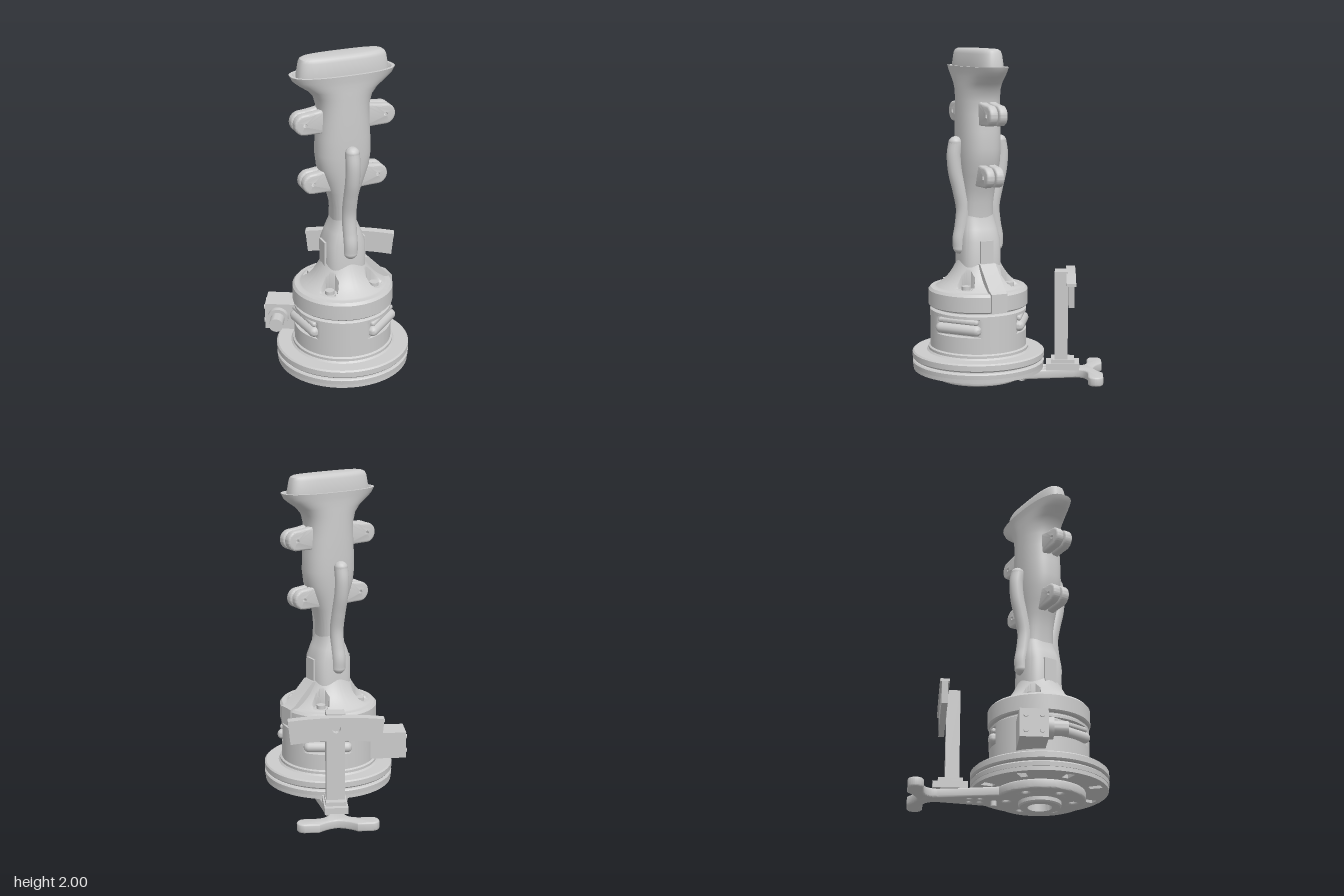
import * as THREE from 'three';
import { toCreasedNormals } from 'three/addons/utils/BufferGeometryUtils.js';

const material = new THREE.MeshStandardMaterial({ color: 0xcccccc, roughness: 0.7, side: THREE.DoubleSide });
const V2 = (a) => a.map(([x, y]) => new THREE.Vector2(x, y));

function add(parent, name, geo, x = 0, y = 0, z = 0, crease = 0.6) {
  const mesh = new THREE.Mesh(toCreasedNormals(geo, crease), material);
  mesh.name = name;
  mesh.position.set(x, y, z);
  parent.add(mesh);
  return mesh;
}
function group(parent, name, x = 0, z = 0, turn = 0) {
  const g = new THREE.Group();
  g.name = name;
  g.position.set(x, 0, z);
  g.rotation.y = turn;
  parent.add(g);
  return g;
}
const box = (x, y, z) => new THREE.BoxGeometry(x, y, z);
const cyl = (r, h, n = 32) => new THREE.CylinderGeometry(r, r, h, n);
const lathe = (pts, n = 96) => new THREE.LatheGeometry(V2(pts), n);
const extrude = (shape, depth, bevel = 0) => new THREE.ExtrudeGeometry(shape, {
  depth: depth - 2 * bevel, curveSegments: 32, bevelEnabled: bevel > 0,
  bevelSize: bevel, bevelThickness: bevel, bevelOffset: -bevel, bevelSegments: 3,
}).translate(0, 0, bevel);
const flat = (shape, depth, bevel) => extrude(shape, depth, bevel).rotateX(-Math.PI / 2);
function hole(shape, x, y, r) {
  shape.holes.push(new THREE.Path().absarc(x, y, r, 0, Math.PI * 2, true));
}
function moveVertices(geo, rule) {
  const p = geo.attributes.position, v = new THREE.Vector3();
  for (let i = 0; i < p.count; i++) {
    rule(v.fromBufferAttribute(p, i));
    p.setXYZ(i, v.x, v.y, v.z);
  }
  return geo;
}

// Skin over superellipse sections [y, halfLength, halfWidth, roundness], capped at both ends
function loft(sections, n = 64) {
  const pos = [], idx = [];
  const pw = (c, e) => Math.sign(c) * Math.abs(c) ** (2 / e);
  for (const [y, hu, hw, e = 2.4] of sections)
    for (let i = 0; i < n; i++) {
      const a = (i / n) * Math.PI * 2;
      pos.push(hu * pw(Math.cos(a), e), y, hw * pw(Math.sin(a), e));
    }
  const last = (sections.length - 1) * n, c0 = sections.length * n;
  pos.push(0, sections[0][0], 0, 0, sections.at(-1)[0], 0);
  for (let i = 0; i < n; i++) {
    const k = (i + 1) % n;
    for (let j = 0; j < last; j += n)
      idx.push(j + i, j + n + i, j + k, j + k, j + n + i, j + n + k);
    idx.push(c0, i, k, c0 + 1, last + k, last + i);
  }
  const g = new THREE.BufferGeometry();
  g.setAttribute('position', new THREE.Float32BufferAttribute(pos, 3));
  g.setIndex(idx);
  return g;
}

function buildBase(body) {
  // Underside ring with blind slots, then the grooved double flange
  const ring = new THREE.Shape().absarc(0, 0, 0.392, 0, Math.PI * 2);
  for (let i = 0; i < 8; i++) {
    const a = (i + 0.5) * Math.PI / 4, c = Math.cos(a), s = Math.sin(a);
    const pt = (r, t) => [r * c - t * s, r * s + t * c];
    ring.holes.push(new THREE.Path(V2([pt(0.29, -0.02), pt(0.29, 0.02), pt(0.36, 0.025), pt(0.36, -0.025)])));
  }
  add(body, 'slottedUnderside', flat(ring, 0.025), 0, 0.087);
  add(body, 'baseFlange', lathe([[0, 0.11], [0.395, 0.11], [0.397, 0.135], [0.39, 0.142], [0.375, 0.144], [0.375, 0.15],
    [0.39, 0.152], [0.397, 0.16], [0.397, 0.192], [0.388, 0.2], [0.31, 0.2], [0.3, 0.21], [0, 0.21]]));
  add(body, 'hubRing', lathe([[0.07, 0.05], [0.07, 0], [0.115, 0], [0.122, 0.008], [0.122, 0.04]], 48));

  // Drum with three flat slots
  const slots = [68, 190, -40].map((d) => d * Math.PI / 180);
  const profile = [[0.3, 0.2], [0.3, 0.225], [0.289, 0.232], [0.289, 0.328], [0.289, 0.33]];
  for (let i = 0; i <= 6; i++) profile.push([0.289, 0.332 + i * 0.0175]);
  profile.push([0.289, 0.439], [0.289, 0.455], [0.28, 0.462], [0.265, 0.464], [0.265, 0.48]);
  add(body, 'drum', moveVertices(lathe(profile, 144), (v) => {
    if (v.y < 0.331 || v.y > 0.438) return;
    for (const a of slots) {
      const d = v.x * Math.cos(a) + v.z * Math.sin(a);
      if (d > 0.25) { v.x -= (d - 0.25) * Math.cos(a); v.z -= (d - 0.25) * Math.sin(a); }
    }
  }));
  for (const a of slots) {
    const slot = group(body, 'slotBars', 0, 0, -a);
    for (const [y, r] of [[0.372, 0.032], [0.42, 0.016]])
      add(slot, 'slotBar', new THREE.CapsuleGeometry(r, 0.23, 6, 16).rotateX(Math.PI / 2), 0.26, y, 0);
  }
}

function buildStand(body) {
  const arm = group(body, 'standArm', 0, 0, Math.PI / 4);
  // Base plate that runs out into a forked foot
  const s = new THREE.Shape().absarc(0, 0, 0.262, 0.42, Math.PI * 2 - 0.42, false);
  s.lineTo(0.4, -0.075);
  s.lineTo(0.58, -0.045);
  s.quadraticCurveTo(0.655, -0.045, 0.66, -0.13);
  s.absarc(0.705, -0.195, 0.045, Math.PI, Math.PI * 2, false);
  s.lineTo(0.75, -0.11);
  s.quadraticCurveTo(0.705, -0.06, 0.695, 0);
  s.quadraticCurveTo(0.705, 0.06, 0.75, 0.11);
  s.absarc(0.705, 0.195, 0.045, 0, Math.PI, false);
  s.lineTo(0.66, 0.13);
  s.quadraticCurveTo(0.655, 0.045, 0.58, 0.045);
  s.lineTo(0.4, 0.075);
  hole(s, 0, 0, 0.075);
  for (let i = 0; i < 6; i++) hole(s, 0.19 * Math.cos(i * Math.PI / 3), 0.19 * Math.sin(i * Math.PI / 3), 0.022);
  for (const [x, y] of [[0.34, 0.03], [0.34, -0.03], [0.4, 0.03], [0.4, -0.03]]) hole(s, x, y, 0.014);
  add(arm, 'forkedPlate', flat(s, 0.055, 0.01), 0, 0.03);
  add(arm, 'peg', cyl(0.018, 0.035, 16), 0.262, 0.018, 0);
  add(arm, 'postFoot', box(0.2, 0.04, 0.14), 0.51, 0.102, 0);
  add(arm, 'postFootStep', box(0.14, 0.03, 0.12), 0.51, 0.13, 0);
  add(arm, 'post', box(0.08, 0.58, 0.11), 0.5, 0.39, 0);
  // Bowed cross plate with a screw hole and raised edge
  const p = new THREE.Shape();
  p.moveTo(-0.265, 0.51);
  p.quadraticCurveTo(0, 0.545, 0.265, 0.51);
  p.lineTo(0.28, 0.65);
  p.quadraticCurveTo(0, 0.685, -0.28, 0.65);
  hole(p, 0, 0.6, 0.026);
  add(arm, 'crossPlate', extrude(p, 0.035).rotateY(Math.PI / 2), 0.54);
  const edge = new THREE.Shape();
  edge.moveTo(-0.28, 0.648);
  edge.quadraticCurveTo(0, 0.683, 0.28, 0.648);
  edge.lineTo(0.28, 0.665);
  edge.quadraticCurveTo(0, 0.698, -0.28, 0.665);
  add(arm, 'plateEdge', extrude(edge, 0.055).rotateY(Math.PI / 2), 0.53, -0.01);
}

function buildMotor(body) {
  const motor = group(body, 'sideMotor', -0.207, -0.315, -Math.PI / 4);
  add(motor, 'motorBox', box(0.22, 0.165, 0.16), 0.01, 0.33, 0);
  add(motor, 'motorCollar', cyl(0.062, 0.035).rotateX(Math.PI / 2), -0.02, 0.33, 0.095);
  add(motor, 'motorShaft', cyl(0.042, 0.11).rotateX(Math.PI / 2), -0.02, 0.33, 0.14);
  add(motor, 'motorMount', box(0.1, 0.12, 0.14), 0.14, 0.33, 0.04);
  for (const y of [0.285, 0.375])
    for (const z of [-0.045, 0.045])
      add(motor, 'motorScrew', cyl(0.014, 0.012, 16).rotateZ(Math.PI / 2), -0.103, y, z);
}

function buildHandle(body) {
  const handle = group(body, 'handle', 0, 0, -0.3);
  // Collar and cone with four screw pockets
  const pockets = [1, 3, 5, 7].map((k) => [0.2 * Math.cos(k * Math.PI / 4), 0.2 * Math.sin(k * Math.PI / 4)]);
  const profile = [[0, 0.475], [0.29, 0.475], [0.298, 0.483], [0.298, 0.572], [0.285, 0.587], [0.265, 0.589]];
  for (let i = 0; i <= 24; i++) {
    const t = i / 24;
    profile.push([0.255 - 0.135 * t, 0.59 + 0.09 * t + 0.08 * t ** 3]);
  }
  add(handle, 'collarCone', moveVertices(lathe(profile, 144), (v) => {
    for (const [x, z] of pockets)
      if (v.y > 0.595 && Math.hypot(v.x - x, v.z - z) < 0.05) v.y = 0.598;
  }));
  for (const [x, z] of pockets) add(handle, 'coneScrew', cyl(0.027, 0.03, 24), x, 0.605, z);

  add(handle, 'neck', loft([[0.62, 0.13, 0.13, 3], [0.72, 0.122, 0.125, 3], [0.87, 0.12, 0.122, 3],
    [0.94, 0.095, 0.11, 2.8], [1.0, 0.07, 0.097, 2.6], [1.04, 0.065, 0.09]]));
  for (const side of [-1, 1]) add(handle, 'neckClasp', box(0.03, 0.17, 0.08), side * 0.116, 0.79, 0);
  const cover = new THREE.Shape(V2([[0.1, 0.74], [0.14, 0.74], [0.27, 0.605], [0.302, 0.588], [0.302, 0.478], [0.26, 0.478], [0.26, 0.56], [0.1, 0.66]]));
  add(handle, 'slopedCover', extrude(cover, 0.1), 0, 0, -0.05);

  // Waisted grip flaring to the top lip
  add(handle, 'gripBody', loft([[0.98, 0.068, 0.094], [1.1, 0.074, 0.092], [1.18, 0.095, 0.1], [1.26, 0.124, 0.11],
    [1.34, 0.152, 0.118], [1.42, 0.162, 0.122], [1.52, 0.158, 0.123], [1.62, 0.152, 0.122], [1.7, 0.152, 0.12],
    [1.76, 0.17, 0.118], [1.8, 0.205, 0.117], [1.84, 0.265, 0.115], [1.865, 0.295, 0.116], [1.897, 0.31, 0.118, 2.6],
    [1.897, 0.292, 0.102, 2.6], [1.88, 0.28, 0.09, 2.8]]));
  add(handle, 'topPad', loft([[1.87, 0.272, 0.088, 3], [1.9, 0.27, 0.087, 3], [1.97, 0.258, 0.078, 3],
    [1.988, 0.25, 0.07, 3], [1.997, 0.235, 0.058, 3], [2.0, 0.215, 0.042, 3]]));

  for (const turn of [0, Math.PI]) {
    const half = group(handle, 'gripSide', 0, 0, turn);
    // Curved bar standing off the grip
    const path = new THREE.CatmullRomCurve3([[1.448, 0.143], [1.38, 0.153], [1.28, 0.145], [1.17, 0.118], [1.06, 0.097],
      [0.95, 0.107], [0.88, 0.12], [0.83, 0.118]].map(([y, w]) => new THREE.Vector3(0, y, w)));
    add(half, 'curvedBar', new THREE.TubeGeometry(path, 48, 0.042, 16));
    for (const t of [0, 1]) {
      const e = path.getPoint(t);
      add(half, 'barEnd', new THREE.SphereGeometry(0.042, 20, 14), e.x, e.y, e.z);
    }
    // Paired lugs with through holes
    for (const [y, u, root] of [[1.62, 0.245, 0.1], [1.26, 0.2, 0.06]]) {
      const lug = new THREE.Shape();
      lug.moveTo(root, 0.085);
      lug.quadraticCurveTo(u - 0.07, 0.065, u, 0.06);
      lug.absarc(u, 0, 0.06, Math.PI / 2, -Math.PI / 2, true);
      lug.quadraticCurveTo(u - 0.07, -0.06, root, -0.065);
      hole(lug, u, 0, 0.024);
      for (const w of [-0.056, 0.004]) add(half, 'lug', extrude(lug, 0.052, 0.012), 0, y, w);
    }
  }
}

export function createModel() {
  const model = new THREE.Group();
  model.name = 'handleOnRotaryBase';
  const body = group(model, 'body', -0.143, 0.135);
  buildBase(body);
  buildStand(body);
  buildMotor(body);
  buildHandle(body);
  return model;
}
